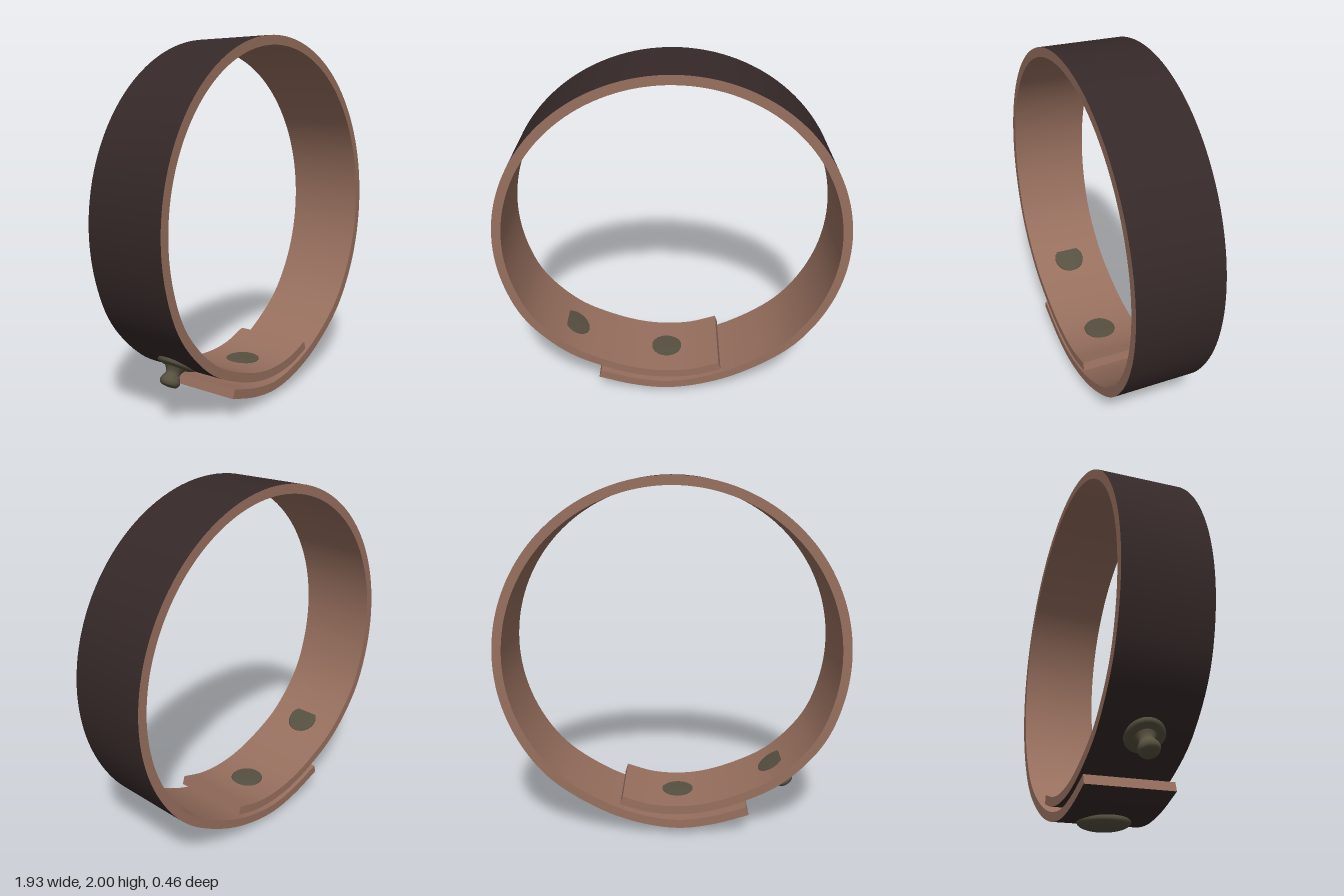
import * as THREE from 'three';

const mat = (name, color) => {
  const m = new THREE.MeshStandardMaterial({ color });
  m.name = name;
  return m;
};

// Smooth ribbon of quads between two equally long rows of points
function strip(a, b) {
  const pos = [], index = [];
  a.forEach((p, i) => {
    pos.push(...p, ...b[i]);
    if (i < a.length - 1) {
      const k = i * 2;
      index.push(k, k + 1, k + 2, k + 1, k + 3, k + 2);
    }
  });
  const g = new THREE.BufferGeometry();
  g.setAttribute('position', new THREE.Float32BufferAttribute(pos, 3));
  g.setIndex(index);
  g.computeVertexNormals();
  return g;
}

export function createModel() {
  const model = new THREE.Group();
  model.name = 'snapStrap';
  const dark = mat('darkLeather', 0x352828);
  const brown = mat('rawLeather', 0x976f5e);
  const metal = mat('agedMetal', 0x565040);

  const add = (name, geometry, material, parent = model) => {
    const mesh = new THREE.Mesh(geometry, material);
    mesh.name = name;
    parent.add(mesh);
    return mesh;
  };

  // Centre line: inner end, round the loop, then overlapping outer end
  const line = [[0.285, 0.215], [0.13, 0.168], [-0.03, 0.154], [-0.2, 0.172], [-0.4, 0.235], [-0.61, 0.345]];
  for (let deg = 210; deg >= -45; deg -= 15) {
    const t = THREE.MathUtils.degToRad(deg);
    line.push([0.942 * Math.cos(t), 1.033 + 0.942 * Math.sin(t)]);
  }
  line.push([0.42, 0.197], [0.2, 0.107], [-0.03, 0.069], [-0.23, 0.092], [-0.43, 0.15]);
  const curve = new THREE.CatmullRomCurve3(line.map(([x, y]) => new THREE.Vector3(x, y, 0)));
  curve.arcLengthDivisions = 1000;

  // Four corner rows of the strap
  const N = 160, half = 0.025, w = 0.23;
  const row = (offset, z) => Array.from({ length: N + 1 }, (_, i) => {
    const p = curve.getPointAt(i / N), t = curve.getTangentAt(i / N);
    return [p.x - t.y * offset, p.y + t.x * offset, z];
  });
  const outBack = row(half, -w), outFront = row(half, w);
  const inFront = row(-half, w), inBack = row(-half, -w);
  add('strapOuterFace', strip(outBack, outFront), dark);
  add('strapFrontEdge', strip(outFront, inFront), brown);
  add('strapInnerFace', strip(inFront, inBack), brown);
  add('strapBackEdge', strip(inBack, outBack), brown);
  add('innerEnd', strip([outFront[0], inFront[0]], [outBack[0], inBack[0]]), brown);
  add('outerEnd', strip([outBack[N], inBack[N]], [outFront[N], inFront[N]]), brown);

  // Snap hardware, turned around an axis pointing out of the loop
  const snap = (name, x, y, angle) => {
    const g = new THREE.Group();
    g.name = name;
    g.position.set(x, y, 0);
    g.rotation.z = angle;
    model.add(g);
    return g;
  };
  const lathe = (points) => new THREE.LatheGeometry(
    points.map(([r, y]) => new THREE.Vector2(r, y)), 40);
  const disc = [[0, -0.031], [0.09, -0.031], [0.095, -0.027], [0.095, -0.01]];

  // Open stud on the side of the strap
  const stud = snap('openStud', -0.604, 0.34, Math.PI - 0.58);
  add('studBackDisc', lathe(disc), metal, stud);
  add('studFlange', lathe([[0.1, 0.01], [0.1, 0.028], [0.085, 0.034], [0.05, 0.042]]), metal, stud);
  const ball = new THREE.SplineCurve([[0.06, 0.036], [0.044, 0.055], [0.038, 0.075], [0.05, 0.1],
    [0.053, 0.118], [0.04, 0.136], [0, 0.143]].map(([r, y]) => new THREE.Vector2(r, y)));
  add('studBall', new THREE.LatheGeometry(ball.getPoints(24), 40), metal, stud);

  // Closed snap joining the two layers
  const closed = snap('closedSnap', -0.035, 0.154, Math.PI);
  add('snapBackDisc', lathe(disc), metal, closed);
  add('snapFlange', lathe([[0.1, 0.01], [0.1, 0.027], [0.06, 0.034], [0.045, 0.04], [0.045, 0.055], [0.06, 0.065]]), metal, closed);

  // Domed cap under the outer layer
  const dome = [[0.13, 0.09], [0.14, 0.1], [0.139, 0.112]];
  for (let i = 1; i <= 12; i++) {
    const t = (i / 12) * Math.PI / 2;
    dome.push([0.139 * Math.cos(t), 0.112 + 0.042 * Math.sin(t)]);
  }
  add('snapCap', lathe(dome), metal, closed);

  return model;
}
